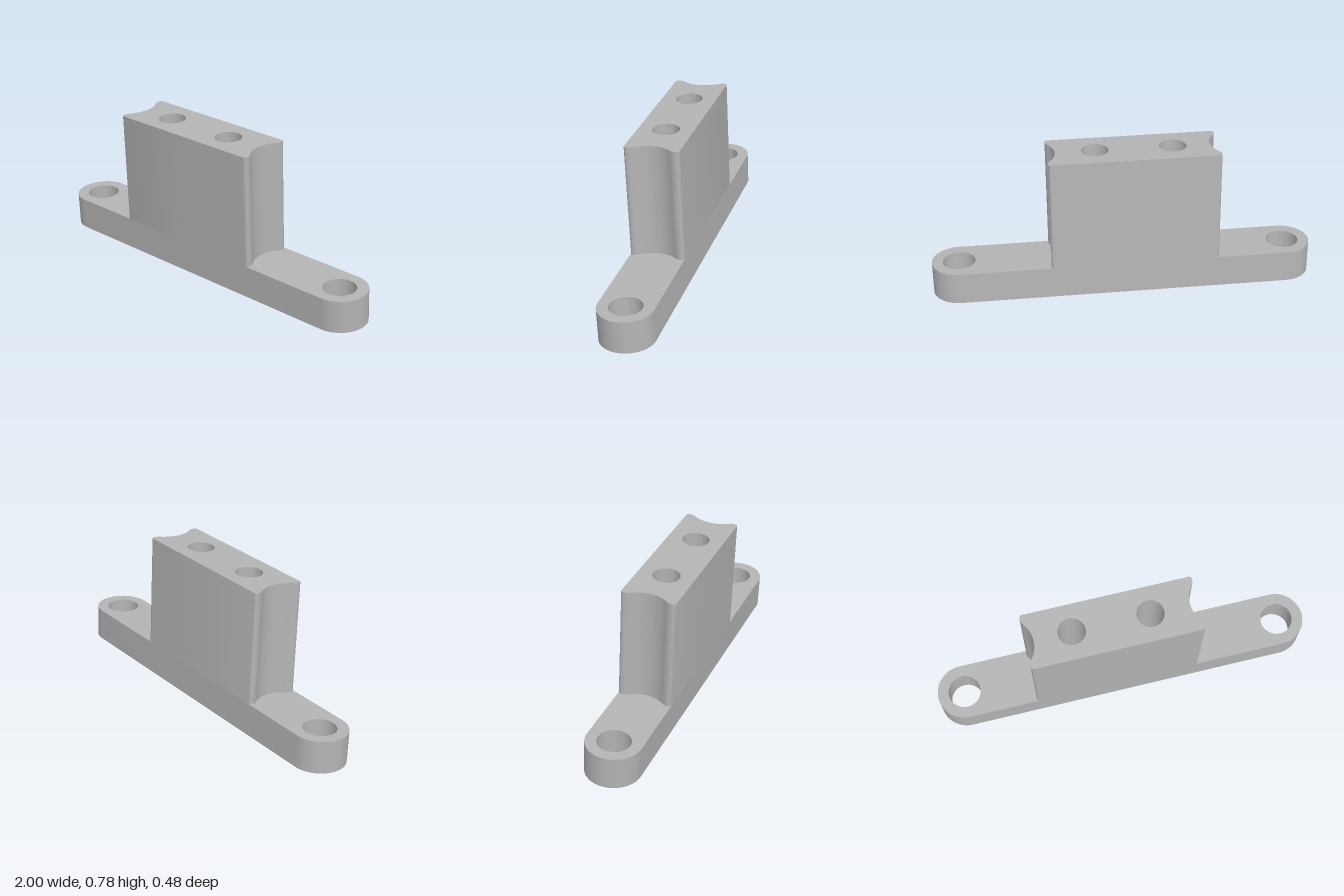
import * as THREE from 'three';
import { toCreasedNormals } from 'three/addons/utils/BufferGeometryUtils.js';

const HALF_WIDTH = 0.143; // half width of bar and block
const EYE_X = 0.862; // distance of the end holes from the middle
const BASE_HEIGHT = 0.172;
const TOTAL_HEIGHT = 0.772;
const BOLT_HOLES = [-0.262, 0.139];

function addHole(shape, x, radius) {
  const hole = new THREE.Path();
  hole.absarc(x, 0, radius, 0, Math.PI * 2, true);
  shape.holes.push(hole);
}

// Extrudes a plan outline upwards between two heights
function upright(name, shape, bottom, top, material) {
  const geometry = new THREE.ExtrudeGeometry(shape, {
    depth: top - bottom, bevelEnabled: false, curveSegments: 32,
  });
  geometry.rotateX(-Math.PI / 2);
  geometry.translate(0, bottom, 0);
  const mesh = new THREE.Mesh(toCreasedNormals(geometry, 0.5), material);
  mesh.name = name;
  return mesh;
}

// Flat bar with round ends
function baseShape() {
  const s = new THREE.Shape();
  s.absarc(EYE_X, 0, HALF_WIDTH, -Math.PI / 2, Math.PI / 2, false);
  s.absarc(-EYE_X, 0, HALF_WIDTH, Math.PI / 2, Math.PI * 1.5, false);
  s.closePath();
  for (const x of [-EYE_X, EYE_X]) addHole(s, x, 0.085);
  for (const x of BOLT_HOLES) addHole(s, x, 0.07);
  return s;
}

// Block outline with a scooped hollow and rounded lips at both ends
function blockShape() {
  const w = HALF_WIDTH, middle = -0.056, half = 0.441;
  const s = new THREE.Shape();
  s.moveTo(middle, -w);
  for (const side of [1, -1]) {
    const x = (inset) => middle + side * (half - inset);
    const y = (v) => side * v;
    s.lineTo(x(0.016), y(-w));
    s.quadraticCurveTo(x(0), y(-w), x(0), y(-w + 0.018));
    s.quadraticCurveTo(x(0), y(-0.108), x(0.012), y(-0.092));
    s.bezierCurveTo(x(0.053), y(-0.04), x(0.053), y(0.04), x(0.012), y(0.092));
    s.quadraticCurveTo(x(0), y(0.108), x(0), y(w - 0.018));
    s.quadraticCurveTo(x(0), y(w), x(0.016), y(w));
  }
  s.closePath();
  for (const x of BOLT_HOLES) addHole(s, x, 0.07);
  return s;
}

export function createModel() {
  const grey = new THREE.MeshStandardMaterial({ color: 0xb4b4b4 });
  grey.name = 'grey';

  const model = new THREE.Group();
  model.name = 'mountingBracket';
  model.add(upright('baseBar', baseShape(), 0, BASE_HEIGHT, grey));
  model.add(upright('uprightBlock', blockShape(), BASE_HEIGHT, TOTAL_HEIGHT, grey));

  // The whole bracket stands turned and leans slightly forward
  model.rotation.set(0.047, -0.111, 0, 'YXZ');
  model.position.set(0, 0.0067, -0.004);

  const root = new THREE.Group();
  root.name = 'bracket';
  root.add(model);
  return root;
}
